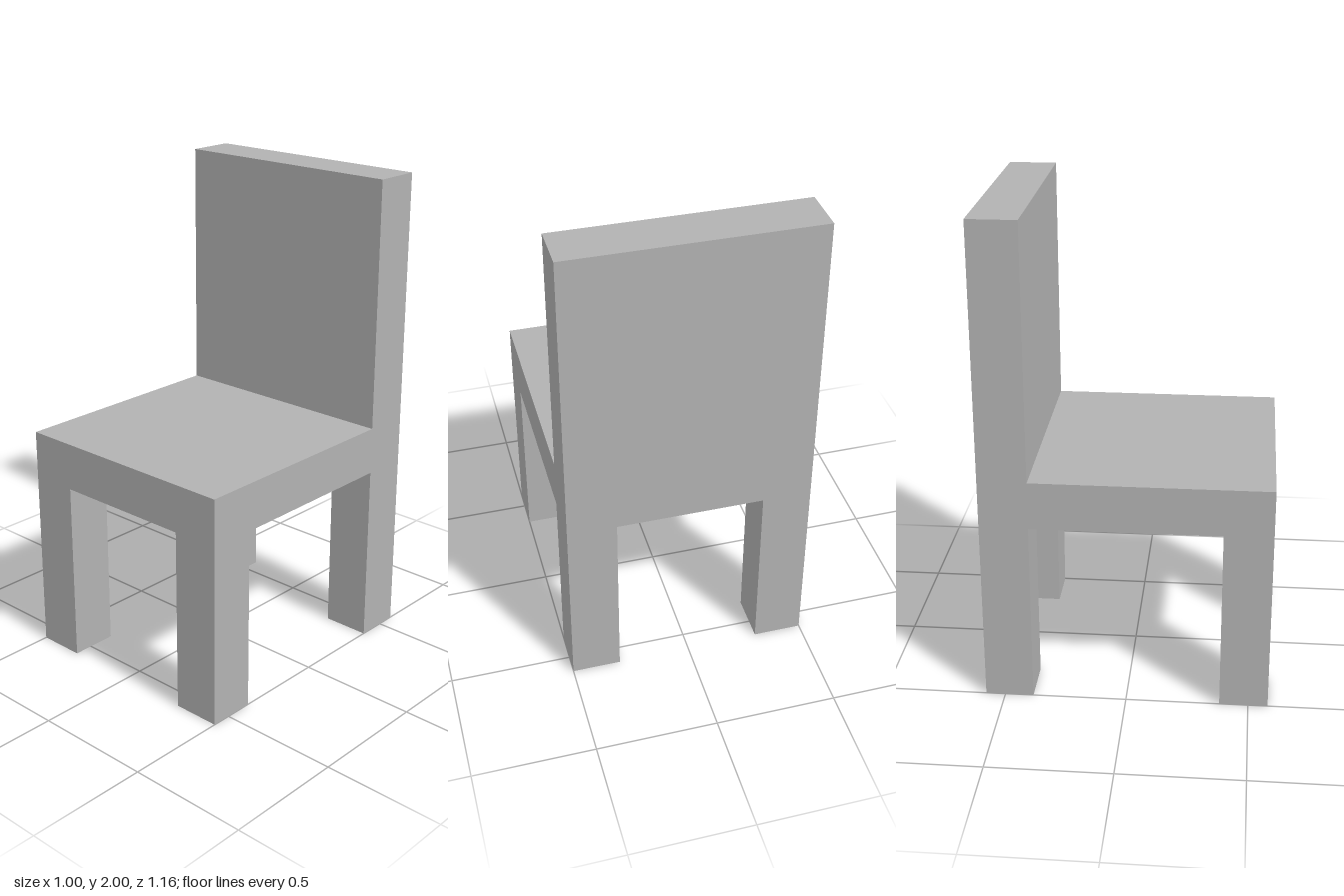
import * as THREE from 'three';

const HALF_W = 0.5, HALF_D = 0.58;
const LEG_W = 0.2, LEG_D = 0.197;
const SEAT_BOTTOM = 0.765, SEAT_TOP = 0.963, TOP = 2;

export function createModel() {
  const chair = new THREE.Group();
  chair.name = 'chair';
  const grey = new THREE.MeshStandardMaterial({ color: 0xb2b2b2 });
  grey.name = 'plain grey';

  // Box standing on height y0 and reaching y1
  function block(name, w, d, y0, y1, x, z) {
    const mesh = new THREE.Mesh(new THREE.BoxGeometry(w, y1 - y0, d), grey);
    mesh.name = name;
    mesh.position.set(x, (y0 + y1) / 2, z);
    chair.add(mesh);
  }

  // Seat slab and upright back, flush with the outer faces of the legs
  block('seat', 2 * HALF_W, 2 * HALF_D, SEAT_BOTTOM, SEAT_TOP, 0, 0);
  block('backrest', 2 * HALF_W, LEG_D, SEAT_TOP, TOP, 0, -HALF_D + LEG_D / 2);

  // Four corner legs
  for (const [side, sx] of [['Left', 1], ['Right', -1]]) {
    for (const [end, sz] of [['front', 1], ['back', -1]]) {
      block(`${end}${side}Leg`, LEG_W, LEG_D, 0, SEAT_BOTTOM,
        sx * (HALF_W - LEG_W / 2), sz * (HALF_D - LEG_D / 2));
    }
  }
  return chair;
}
